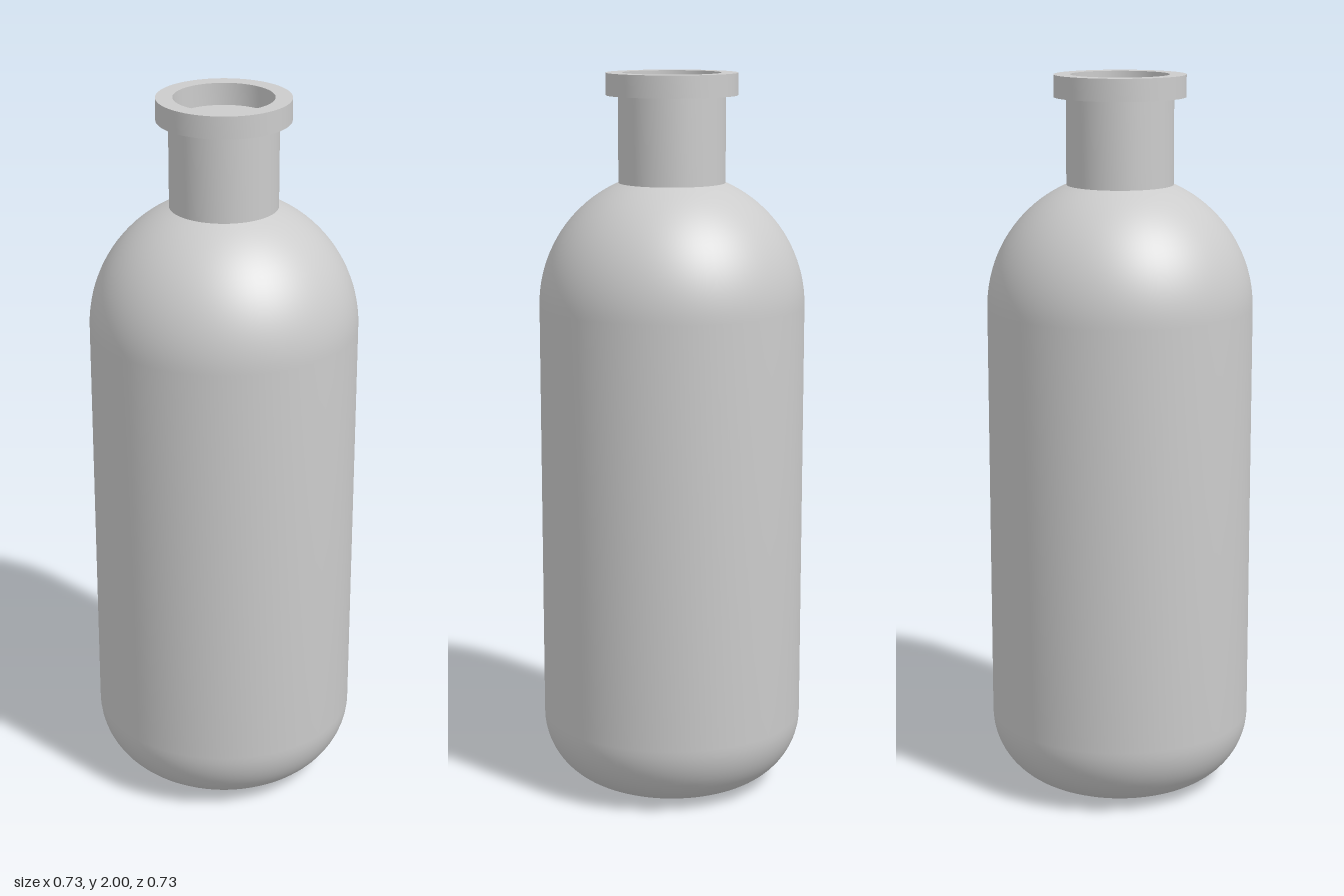
import * as THREE from 'three';
import { toCreasedNormals } from 'three/addons/utils/BufferGeometryUtils.js';

const SEGMENTS = 80;
const material = new THREE.MeshStandardMaterial({ color: 0xcccccc });

// Revolve a profile, smooth along curves and sharp at corners
function turned(name, points) {
  const geometry = toCreasedNormals(new THREE.LatheGeometry(points, SEGMENTS), 0.6);
  const mesh = new THREE.Mesh(geometry, material);
  mesh.name = name;
  return mesh;
}

// Points along a circular arc in the profile plane
function arc(cx, cy, radius, from, to, steps) {
  return Array.from({ length: steps + 1 }, (_, i) => {
    const a = from + (to - from) * i / steps;
    return new THREE.Vector2(cx + radius * Math.cos(a), cy + radius * Math.sin(a));
  });
}

export function createModel() {
  const group = new THREE.Group();
  group.name = 'bottle';
  const v = (r, y) => new THREE.Vector2(r, y);

  const bodyR = 0.365, neckR = 0.146, baseR = 0.2, shoulderY = 1.37;
  const rimBottom = 1.94;

  // Body: flat base, rounded heel, straight wall, domed shoulder, closed neck
  group.add(turned('body', [
    v(0, 0),
    ...arc(bodyR - baseR, baseR, baseR, -Math.PI / 2, 0, 16),
    ...arc(0, shoulderY, bodyR, 0, Math.acos(neckR / bodyR), 20),
    v(neckR, rimBottom),
    v(0, rimBottom),
  ]));

  // Rim: open ring around the mouth
  group.add(turned('rim', [
    v(0.134, rimBottom), v(0.179, rimBottom), v(0.179, 2), v(0.134, 2), v(0.134, rimBottom),
  ]));

  return group;
}
